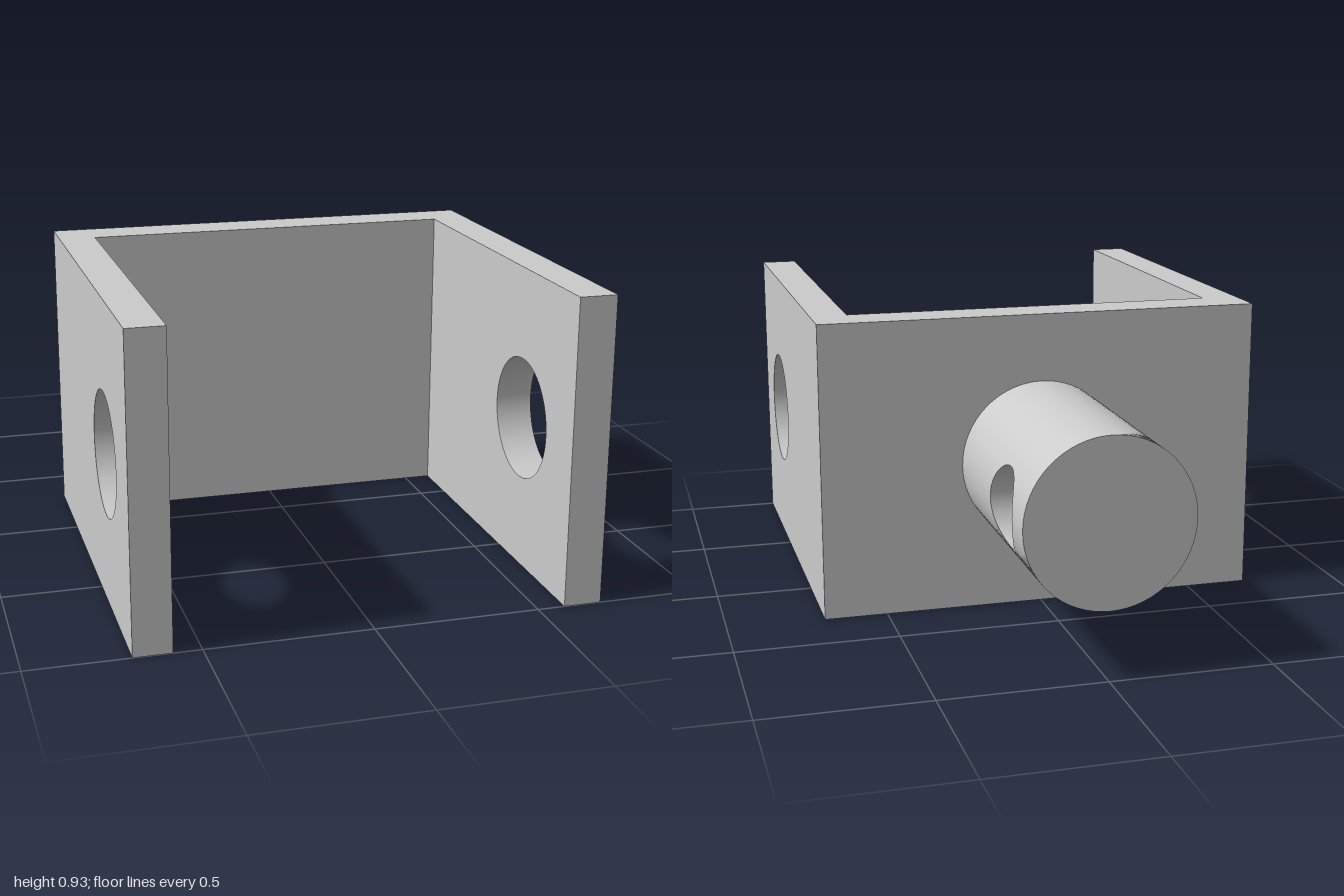
import * as THREE from 'three';
import { toCreasedNormals } from 'three/addons/utils/BufferGeometryUtils.js';

const material = new THREE.MeshStandardMaterial({ color: 0xcccccc });

// Bracket sizes
const HALF_W = 0.697, WALL = 0.114, HEIGHT = 0.93, FRONT = 1, BACK = -0.3, BACK_THICK = 0.14;
const EAR_HOLE_Z = 0.63, EAR_HOLE_R = 0.187;
// Pin sizes
const PIN_R = 0.254, PIN_END = -1, BORE_Z = -0.767, BORE_R = 0.12;

function addMesh(parent, name, geometry) {
  const mesh = new THREE.Mesh(geometry, material);
  mesh.name = name;
  parent.add(mesh);
  return mesh;
}

// Grid surface whose vertices and normals follow rule(u, v) -> [position, normal]
function surface(rule, nu, nv) {
  const geo = new THREE.PlaneGeometry(1, 1, nu, nv);
  const { position, normal, uv } = geo.attributes;
  for (let i = 0; i < position.count; i++) {
    const [p, n] = rule(uv.getX(i), uv.getY(i));
    position.setXYZ(i, ...p);
    normal.setXYZ(i, ...n);
  }
  return geo;
}

// Side wall of the bracket with a round hole
function earGeometry() {
  const shape = new THREE.Shape([
    new THREE.Vector2(-FRONT, 0), new THREE.Vector2(-BACK, 0),
    new THREE.Vector2(-BACK, HEIGHT), new THREE.Vector2(-FRONT, HEIGHT),
  ]);
  const hole = new THREE.Path();
  hole.absarc(-EAR_HOLE_Z, HEIGHT / 2, EAR_HOLE_R, 0, Math.PI * 2, true);
  shape.holes.push(hole);
  const geo = new THREE.ExtrudeGeometry(shape, { depth: WALL, bevelEnabled: false, curveSegments: 64 });
  return toCreasedNormals(geo.rotateY(Math.PI / 2), 0.6);
}

// Outline of half the unrolled pin: [distance behind the bore, angle round the pin]
const corners = [
  [BORE_Z - PIN_END, -Math.PI / 2], [BORE_Z - PIN_END, Math.PI / 2],
  [BORE_Z - BACK, Math.PI / 2], [BORE_Z - BACK, -Math.PI / 2],
];
function outline(u) {
  const s = u * 4, k = Math.min(3, Math.floor(s)), f = s - k;
  const a = corners[k], b = corners[(k + 1) % 4];
  const w = THREE.MathUtils.lerp(a[0], b[0], f);
  const theta = THREE.MathUtils.lerp(a[1], b[1], f);
  return { w, theta, angle: Math.atan2(theta * PIN_R, w) };
}

// Half of the pin's skin, running from its outline to the edge of the bore
function pinSkin(u, v) {
  const { w, theta, angle } = outline(u);
  const edge = Math.asin(BORE_R * Math.sin(angle) / PIN_R);
  const t = THREE.MathUtils.lerp(theta, edge, v);
  const z = BORE_Z - THREE.MathUtils.lerp(w, BORE_R * Math.cos(angle), v);
  const c = Math.cos(t), s = Math.sin(t);
  return [[PIN_R * c, PIN_R * s, z], [c, s, 0]];
}

// Inside of the bore, crossing the pin from side to side
function boreWall(u, v) {
  const { angle } = outline(u);
  const c = Math.cos(angle), s = Math.sin(angle), y = BORE_R * s;
  const x = Math.sqrt(PIN_R ** 2 - y ** 2) * (1 - 2 * v);
  return [[x, y, BORE_Z - BORE_R * c], [0, -s, c]];
}

export function createModel() {
  const model = new THREE.Group();
  model.name = 'clevisBracket';

  // U-shaped bracket
  const bracket = new THREE.Group();
  bracket.name = 'bracket';
  model.add(bracket);
  const ear = earGeometry();
  addMesh(bracket, 'leftEar', ear).position.x = HALF_W - WALL;
  addMesh(bracket, 'rightEar', ear).position.x = -HALF_W;
  const plate = new THREE.BoxGeometry(2 * (HALF_W - WALL), HEIGHT, BACK_THICK);
  addMesh(bracket, 'backPlate', plate).position.set(0, HEIGHT / 2, BACK + BACK_THICK / 2);

  // Cross-drilled pin
  const pin = new THREE.Group();
  pin.name = 'pin';
  pin.position.y = HEIGHT / 2;
  model.add(pin);
  const skin = surface(pinSkin, 128, 16);
  addMesh(pin, 'leftPinSkin', skin);
  addMesh(pin, 'rightPinSkin', skin).rotation.z = Math.PI;
  addMesh(pin, 'pinBore', surface(boreWall, 128, 1));
  const cap = addMesh(pin, 'pinEnd', new THREE.CircleGeometry(PIN_R, 64));
  cap.rotation.y = Math.PI;
  cap.position.z = PIN_END;

  return model;
}
